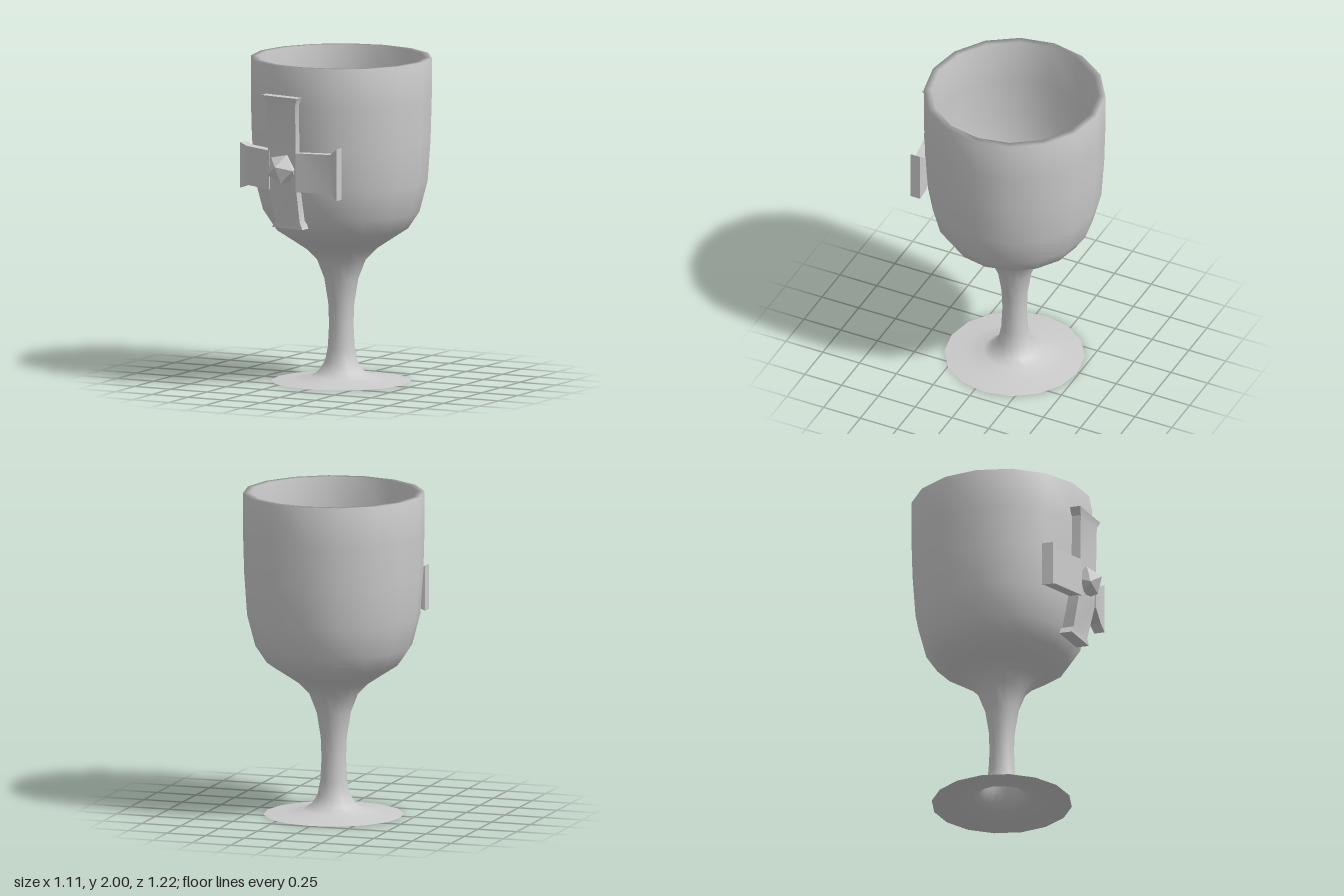
import * as THREE from 'three';
import { toCreasedNormals } from 'three/addons/utils/BufferGeometryUtils.js';

const material = new THREE.MeshStandardMaterial({ color: 0xcccccc, side: THREE.DoubleSide });
const gemMaterial = new THREE.MeshStandardMaterial({ color: 0xcccccc, flatShading: true });

// Joins four-cornered cross-sections into a closed solid.
function loft(sections) {
  const positions = sections.flat(2);
  const index = [];
  for (let s = 0; s < sections.length - 1; s++) {
    for (let i = 0; i < 4; i++) {
      const a = s * 4 + i, b = s * 4 + ((i + 1) % 4);
      index.push(a, b, b + 4, a, b + 4, a + 4);
    }
  }
  const e = (sections.length - 1) * 4;
  index.push(0, 2, 1, 0, 3, 2, e, e + 1, e + 2, e, e + 2, e + 3);
  const geometry = new THREE.BufferGeometry();
  geometry.setAttribute('position', new THREE.Float32BufferAttribute(positions, 3));
  geometry.setIndex(index);
  return toCreasedNormals(geometry, 0.6);
}

function addMesh(parent, name, geometry, mat = material) {
  const mesh = new THREE.Mesh(geometry, mat);
  mesh.name = name;
  parent.add(mesh);
  return mesh;
}

export function createModel() {
  const model = new THREE.Group();
  model.name = 'goblet';

  // Cup: thin foot, hollow stem, outer bowl, rim, then the inner wall back to the stem
  const profile = [
    [0.43, 0], [0.3, 0.012], [0.19, 0.03], [0.14, 0.06], [0.1, 0.12], [0.082, 0.21],
    [0.075, 0.35], [0.08, 0.48], [0.104, 0.63], [0.15, 0.75], [0.22, 0.82], [0.31, 0.88],
    [0.41, 0.945], [0.48, 1.05], [0.53, 1.24], [0.548, 1.5], [0.555, 1.75], [0.555, 2],
    [0.512, 2], [0.515, 1.7], [0.508, 1.45], [0.49, 1.24], [0.445, 1.07], [0.385, 0.97],
    [0.3, 0.905], [0.21, 0.84], [0.14, 0.76], [0.098, 0.63], [0.08, 0.48],
  ].map(([r, y]) => new THREE.Vector2(r, y));
  const cup = addMesh(model, 'cup', new THREE.LatheGeometry(profile, 16));
  cup.position.z = -0.06;

  // Raised cross on the bowl, its arms following the facets
  const cross = new THREE.Group();
  cross.name = 'cross';
  model.add(cross);

  // Upright: y, left x, right x, front z at x = 0, depth
  const upright = [
    [1.0, -0.21, 0.02, 0.485, 0.08], [1.045, -0.185, 0, 0.485, 0.08],
    [1.24, -0.21, 0, 0.53, 0.08], [1.48, -0.21, 0, 0.54, 0.06],
    [1.775, -0.215, 0, 0.545, 0.06], [1.82, -0.25, 0.02, 0.558, 0.065],
  ].map(([y, l, r, z, d]) => [
    [l, y, z + 0.18 * l], [r, y, z + 0.18 * r],
    [r, y, z + 0.18 * r - d], [l, y, z + 0.18 * l - d],
  ]);
  addMesh(cross, 'crossUpright', loft(upright));

  // Side arms: x, lower y, upper y, back z, front z
  const arm = (rows) => loft(rows.map(([x, lo, hi, back, front]) => [
    [x, lo, back], [x, hi, back], [x, hi, front], [x, lo, front],
  ]));
  addMesh(cross, 'crossRightArm', arm([
    [-0.455, 1.22, 1.5, 0.33, 0.4], [-0.41, 1.24, 1.48, 0.33, 0.4],
    [-0.2, 1.24, 1.48, 0.44, 0.51],
  ]));
  addMesh(cross, 'crossLeftArm', arm([
    [0, 1.24, 1.48, 0.48, 0.54], [0.22, 1.24, 1.48, 0.435, 0.505],
    [0.27, 1.2, 1.52, 0.45, 0.515],
  ]));

  // Faceted gem, set through the wall at the crossing
  const gem = addMesh(model, 'gem', new THREE.IcosahedronGeometry(0.105, 0), gemMaterial);
  gem.position.set(-0.1, 1.37, 0.507);
  gem.rotation.set(0.3, 0.05, 0.2);

  return model;
}
